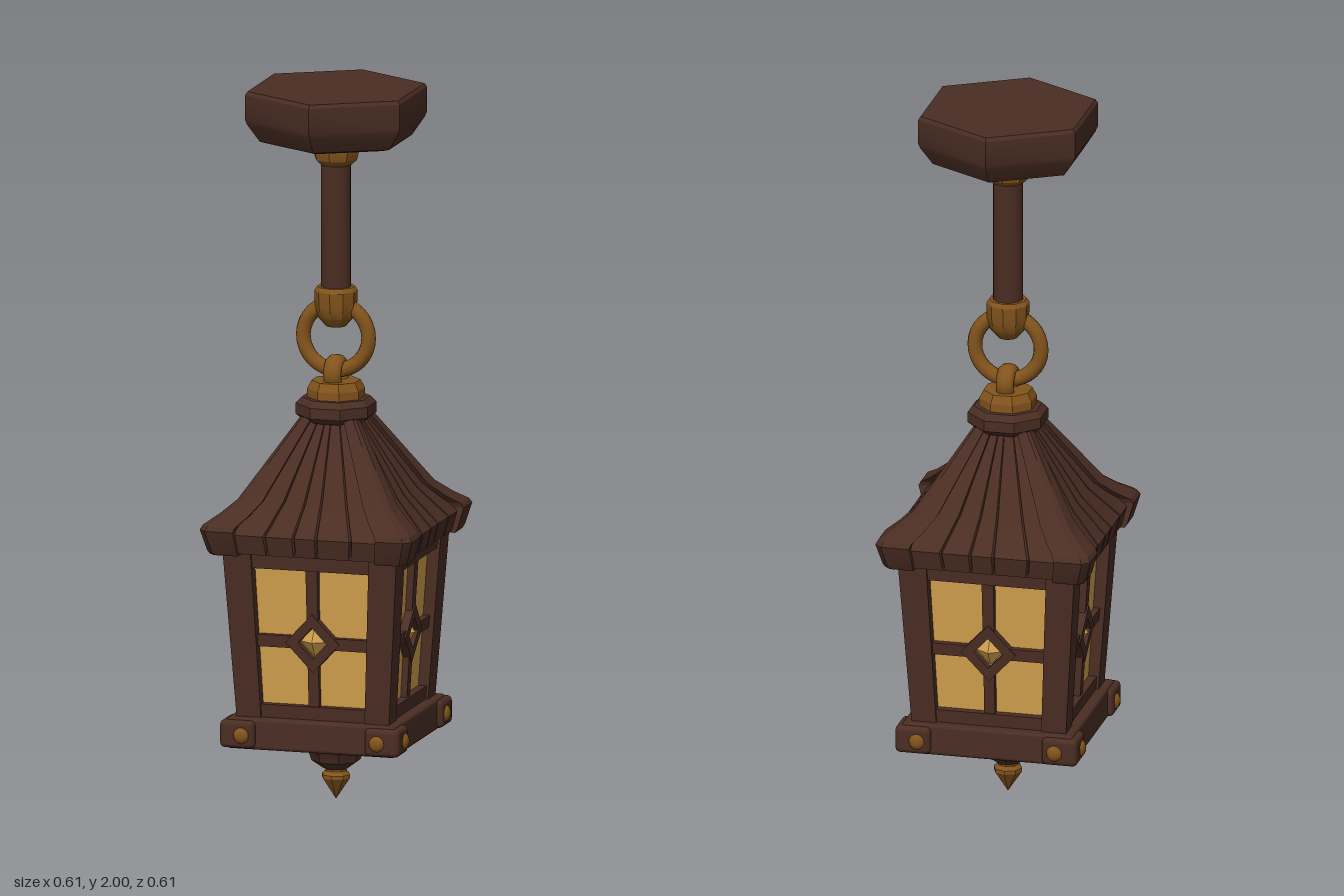
import * as THREE from 'three';
import { toCreasedNormals } from 'three/addons/utils/BufferGeometryUtils.js';
import { RoundedBoxGeometry } from 'three/addons/geometries/RoundedBoxGeometry.js';

const wood = new THREE.MeshStandardMaterial({ color: 0x4a2d23 });
wood.name = 'darkWood';
const brass = new THREE.MeshStandardMaterial({ color: 0x83541c });
brass.name = 'agedBrass';
const glass = new THREE.MeshStandardMaterial({ color: 0xd0a04e });
glass.name = 'amberGlass';

function add(parent, name, geometry, material) {
  const mesh = new THREE.Mesh(geometry, material);
  mesh.name = name;
  parent.add(mesh);
  return mesh;
}

// Faceted or round turned part from [radius, y] pairs, bottom to top
function turned(profile, sides, crease = 0.4, start = 0) {
  const points = profile.map(([r, y]) => new THREE.Vector2(r, y));
  return toCreasedNormals(new THREE.LatheGeometry(points, sides, start), crease);
}

// Box given by centre and size
function box(x, y, z, w, h, d, bevel = 0) {
  const geo = bevel ? new RoundedBoxGeometry(w, h, d, 2, bevel) : new THREE.BoxGeometry(w, h, d);
  return geo.translate(x, y, z);
}

// Narrows the lantern body towards its base
function taper(geo) {
  const p = geo.attributes.position;
  for (let i = 0; i < p.count; i++) {
    const s = (0.219 + (p.getY(i) - 0.26) * 0.066) / 0.25;
    p.setX(i, p.getX(i) * s);
    p.setZ(i, p.getZ(i) * s);
  }
  geo.computeVertexNormals();
  return geo;
}

// Surface over a grid of points; rows run upwards, columns anticlockwise seen from above
function gridSurface(rows) {
  const n = rows[0].length, index = [];
  for (let r = 0; r < rows.length - 1; r++) {
    for (let c = 0; c < n - 1; c++) {
      const a = r * n + c;
      index.push(a, a + 1, a + n + 1, a, a + n + 1, a + n);
    }
  }
  const geo = new THREE.BufferGeometry();
  geo.setAttribute('position', new THREE.Float32BufferAttribute(rows.flat(2), 3));
  geo.setIndex(index);
  return toCreasedNormals(geo, 0.35);
}

// One roof slope, divided into planks by narrow grooves
function roofSlope() {
  const profile = [[0.272, 0.73], [0.286, 0.785], [0.245, 0.828], [0.205, 0.87], [0.065, 1.085]];
  const columns = [[-1, 0]];
  for (const u of [-0.42, -0.13, 0.1, 0.45]) columns.push([u - 0.014, 0], [u, 0.009], [u + 0.014, 0]);
  columns.push([1, 0]);
  return gridSurface(profile.map(([h, y]) => columns.map(([u, d]) => [u * h, y, h - d])));
}

// Hip beam on the +x +z corner, narrowing as it climbs
function hipBeam() {
  const stations = [
    [0, 0.725, 0], [0.282, 0.725, 0.085], [0.288, 0.735, 0.09], [0.305, 0.795, 0.1], [0.298, 0.808, 0.098],
    [0.262, 0.833, 0.088], [0.22, 0.87, 0.075], [0.08, 1.085, 0.035],
  ];
  return gridSurface(stations.map(([h, y, w]) => {
    const b = w * 0.2;
    if (!w) return Array(7).fill([0.24, y, 0.24]);
    return [[h - w, y, h - w], [h - w, y, h], [h - b, y, h], [h, y, h - b],
      [h, y, h - w], [h - w, y, h - w], [h - w, y, h - w]];
  }));
}

function diamondFrame() {
  const diamond = (r, T) => {
    const s = new T();
    s.moveTo(r, 0); s.lineTo(0, r); s.lineTo(-r, 0); s.lineTo(0, -r); s.closePath();
    return s;
  };
  const shape = diamond(0.083, THREE.Shape);
  shape.holes.push(diamond(0.044, THREE.Path));
  return new THREE.ExtrudeGeometry(shape, { depth: 0.03, bevelEnabled: false });
}

export function createModel() {
  const model = new THREE.Group();
  model.name = 'hangingLantern';

  // Ceiling mount and hanging rod
  add(model, 'ceilingPlate', turned([[0, 1.85], [0.19, 1.85], [0.215, 1.857], [0.25, 1.905], [0.257, 1.92],
    [0.257, 1.99], [0.25, 2], [0, 2]], 6), wood);
  add(model, 'upperCollar', turned([[0, 1.785], [0.045, 1.785], [0.06, 1.8], [0.067, 1.825], [0.067, 1.855], [0, 1.855]], 8), brass);
  add(model, 'rod', turned([[0.042, 1.4], [0.042, 1.82]], 12, 0.8), wood);
  add(model, 'rodSocket', turned([[0, 1.325], [0.028, 1.33], [0.05, 1.355], [0.058, 1.385], [0.06, 1.43],
    [0.052, 1.442], [0, 1.442]], 10, 0.5), brass);

  // Interlocked rings
  add(model, 'largeRing', new THREE.TorusGeometry(0.094, 0.021, 10, 32).translate(0, 1.3, 0), brass);
  add(model, 'capLoop', new THREE.TorusGeometry(0.036, 0.016, 10, 20).rotateY(Math.PI / 2).scale(1.6, 1, 1)
    .translate(0, 1.198, 0), brass);

  // Roof crown
  add(model, 'brassCap', turned([[0, 1.12], [0.08, 1.12], [0.08, 1.155], [0.068, 1.178], [0, 1.178]], 8, 0.4, Math.PI / 8), brass);
  add(model, 'roofCollar', turned([[0, 1.065], [0.09, 1.068], [0.112, 1.085], [0.112, 1.115], [0.095, 1.132],
    [0, 1.132]], 8, 0.4, Math.PI / 8), wood);

  // Solid cores
  add(model, 'roofUnderside', box(0, 0.738, 0, 0.54, 0.016, 0.54), wood);
  add(model, 'glassCore', taper(box(0, 0.495, 0, 0.43, 0.47, 0.43)), glass);
  add(model, 'basePlate', box(0, 0.219, 0, 0.485, 0.088, 0.485, 0.01), wood);

  // Everything that repeats on the four sides
  for (let i = 0; i < 4; i++) {
    const side = new THREE.Group();
    side.name = 'side' + (i + 1);
    side.rotation.y = i * Math.PI / 2;
    model.add(side);

    add(side, 'roofPlanks', roofSlope(), wood);
    add(side, 'hipBeam', hipBeam(), wood);
    add(side, 'cornerPost', taper(box(0.21, 0.495, 0.21, 0.08, 0.49, 0.08)), wood);
    add(side, 'topRail', taper(box(0, 0.711, 0.22, 0.36, 0.05, 0.044)), wood);
    add(side, 'bottomRail', taper(box(0, 0.275, 0.22, 0.36, 0.05, 0.044)), wood);

    // Window bars around the diamond
    for (const y of [0.355, 0.615]) add(side, 'uprightBar', taper(box(0, y, 0.222, 0.034, 0.14, 0.026)), wood);
    for (const x of [-0.115, 0.115]) add(side, 'crossBar', taper(box(x, 0.48, 0.222, 0.11, 0.034, 0.026)), wood);
    add(side, 'diamondFrame', taper(diamondFrame().translate(0, 0.48, 0.21)), wood);
    add(side, 'diamondStud', taper(toCreasedNormals(new THREE.ConeGeometry(0.044, 0.03, 4).rotateX(Math.PI / 2)
      .translate(0, 0.482, 0.229), 0.1)), glass);

    // Base corner with rivets
    add(side, 'baseCorner', box(0.208, 0.218, 0.208, 0.1, 0.078, 0.1, 0.014), wood);
    for (const x of [-0.195, 0.195]) {
      add(side, 'rivet', new THREE.SphereGeometry(0.023, 10, 8).scale(1, 1, 0.6).translate(x, 0.216, 0.256), brass);
    }
  }

  // Stepped boss and finial under the base
  add(model, 'bottomBoss', turned([[0, 0.085], [0.035, 0.087], [0.068, 0.11], [0.075, 0.132], [0.082, 0.142],
    [0.113, 0.155], [0.118, 0.18], [0, 0.18]], 8, 0.35, Math.PI / 8), wood);
  add(model, 'finial', turned([[0, 0], [0.012, 0.018], [0.04, 0.06], [0.04, 0.07], [0.03, 0.08], [0.03, 0.1]], 8, 0.5), brass);

  return model;
}
